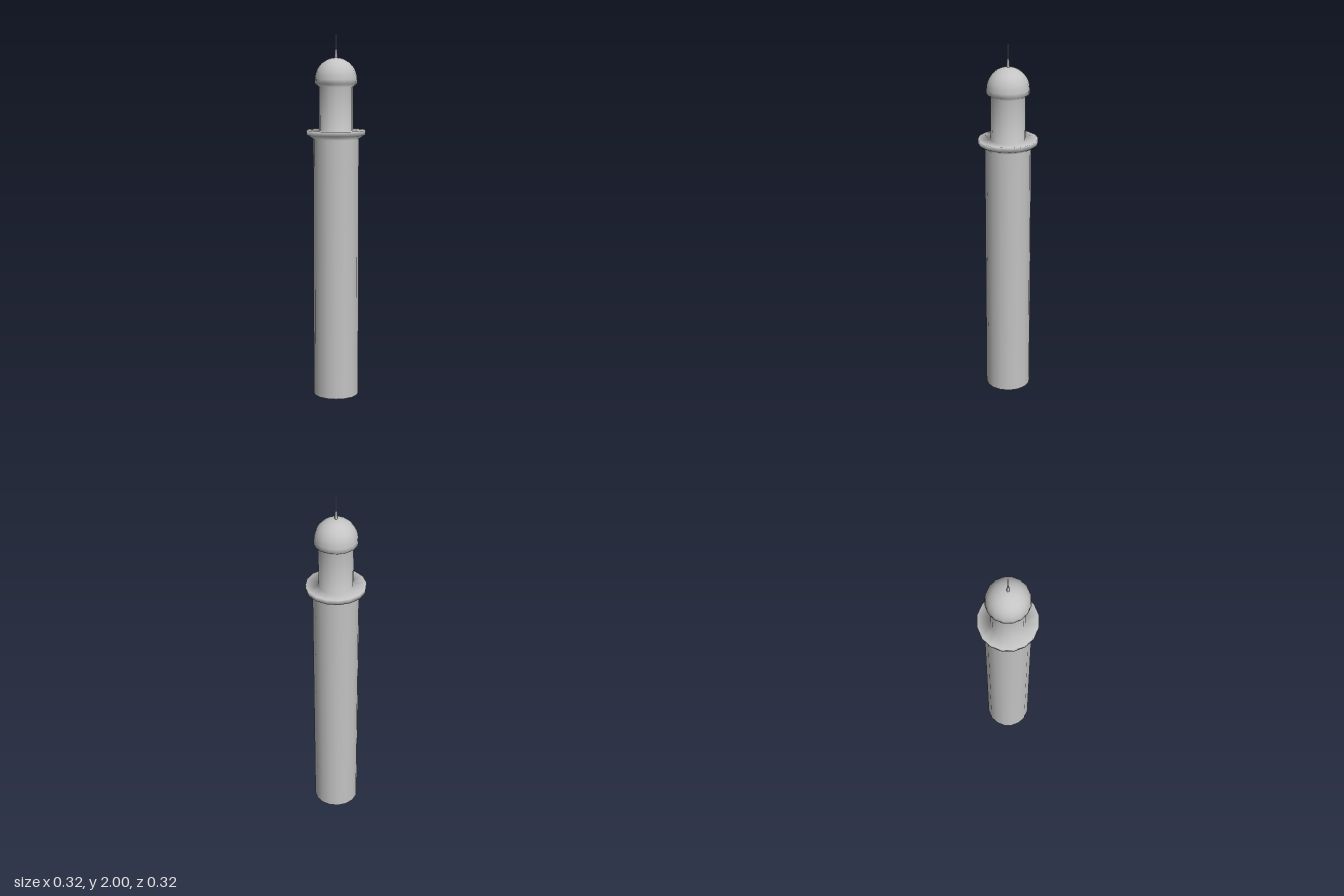
import * as THREE from 'three';

const SIDES = 16;

export function createModel() {
  const model = new THREE.Group();
  model.name = 'tower';
  const stone = new THREE.MeshStandardMaterial({ color: 0xc4c4c4, side: THREE.DoubleSide });
  stone.name = 'pale grey stone';

  // One continuous outline keeps the shading smooth where the parts meet
  const outline = [
    [0.125, 0], [0.125, 1.437],                    // shaft
    [0.162, 1.46], [0.162, 1.486], [0.093, 1.482], // balcony
    [0.093, 1.72],                                 // lantern
    [0.117, 1.738],                                // dome eave
  ].map(([r, y]) => new THREE.Vector2(r, y));
  const domeStart = outline.length - 1;
  const domeSteps = 9;
  for (let i = 0; i <= domeSteps; i++) {
    const a = (i / domeSteps) * Math.PI / 2;
    const r = i === domeSteps ? 0 : 0.115 * Math.cos(a);
    outline.push(new THREE.Vector2(r, 1.762 + 0.116 * Math.sin(a)));
  }
  const body = new THREE.LatheGeometry(outline, SIDES);

  // Take the bands of the body between two outline points as a named part
  function addBand(name, from, to) {
    const rows = outline.length - 1;
    const index = [];
    for (let s = 0; s < SIDES; s++) {
      for (let row = from; row < to; row++) {
        const start = (s * rows + row) * 6;
        for (let k = 0; k < 6; k++) index.push(body.index.getX(start + k));
      }
    }
    const part = body.clone();
    part.setIndex(index);
    const mesh = new THREE.Mesh(part, stone);
    mesh.name = name;
    model.add(mesh);
  }
  addBand('shaft', 0, 1);
  addBand('balcony', 1, 4);
  addBand('lantern', 4, 5);
  addBand('domeEave', 5, domeStart);
  addBand('dome', domeStart, outline.length - 1);

  // Slim stepped finial
  const finialOutline = [[0.008, 1.87], [0.006, 1.918], [0.003, 1.922], [0.003, 2], [0, 2]]
    .map(([r, y]) => new THREE.Vector2(r, y));
  const finial = new THREE.Mesh(new THREE.LatheGeometry(finialOutline, 8), stone);
  finial.name = 'finial';
  model.add(finial);

  return model;
}
